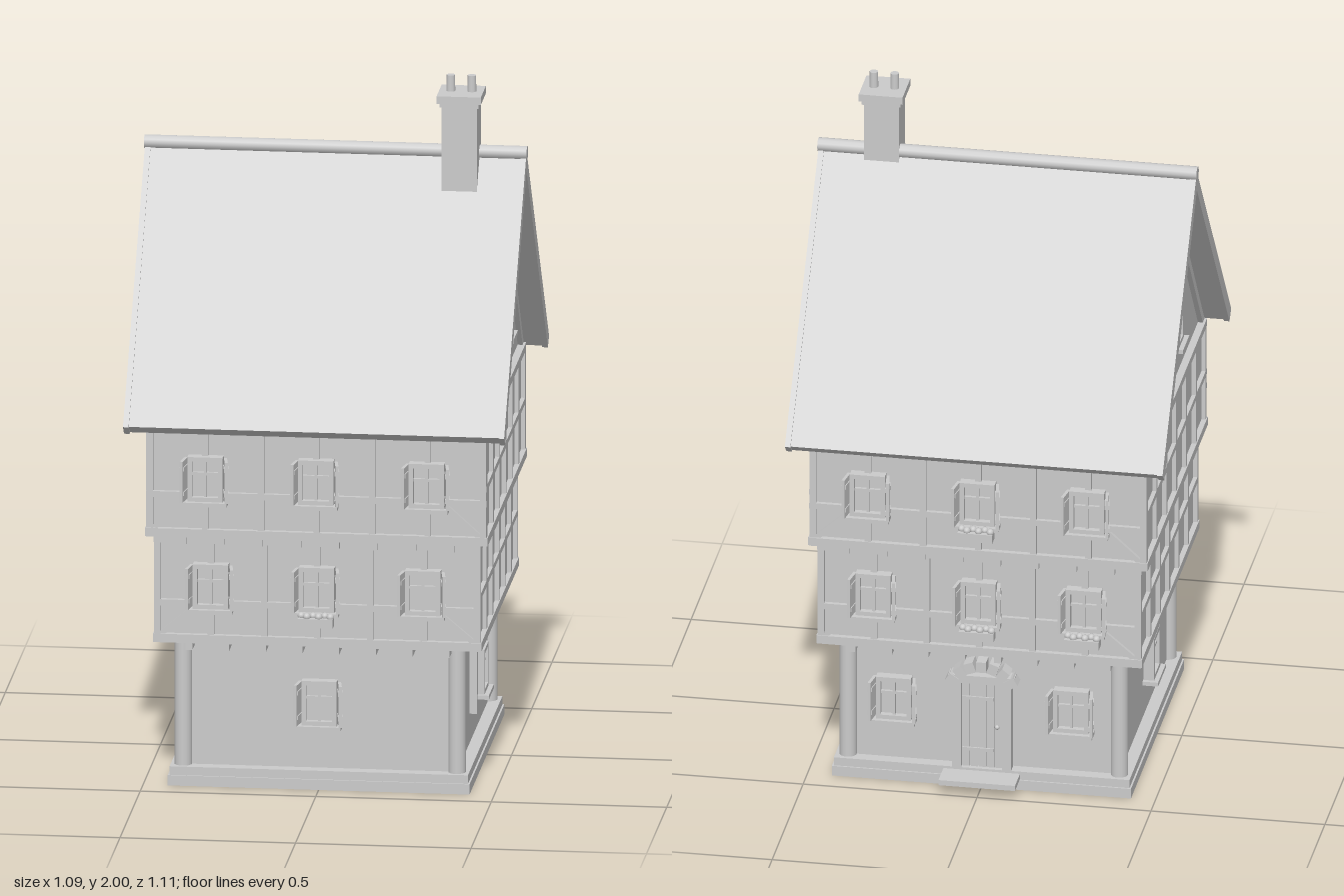
import * as THREE from 'three';

const mat = new THREE.MeshStandardMaterial({ color: 0xcccccc });

function add(parent, name, geo, x = 0, y = 0, z = 0) {
  const m = new THREE.Mesh(geo, mat);
  m.name = name;
  m.position.set(x, y, z);
  parent.add(m);
  return m;
}
const box = (parent, name, w, h, d, x, y, z) => add(parent, name, new THREE.BoxGeometry(w, h, d), x, y, z);

function group(parent, name, x = 0, y = 0, z = 0, ry = 0) {
  const g = new THREE.Group();
  g.name = name;
  g.position.set(x, y, z);
  g.rotation.y = ry;
  parent.add(g);
  return g;
}

// Beam between two points of a facade plane
function beam(parent, name, x1, y1, x2, y2, z, t = 0.018) {
  const b = box(parent, name, Math.hypot(x2 - x1, y2 - y1), t, t, (x1 + x2) / 2, (y1 + y2) / 2, z);
  b.rotation.z = Math.atan2(y2 - y1, x2 - x1);
}

// Profile in the z-y plane, extruded along x and centred at x
function prism(parent, name, points, width, x = 0) {
  const shape = new THREE.Shape(points.map(([a, b]) => new THREE.Vector2(a, b)));
  const geo = new THREE.ExtrudeGeometry(shape, { depth: width, bevelEnabled: false });
  geo.translate(0, 0, -width / 2).rotateY(Math.PI / 2);
  return add(parent, name, geo, x);
}

// Casement window facing local +z, origin on the wall
function windowUnit(parent, x, y, z, { w = 0.1, h = 0.13, shutters = false, flowers = false } = {}) {
  const g = group(parent, 'window', x, y, z);
  box(g, 'windowPane', w, h, 0.014, 0, 0, 0.005);
  for (const s of [-1, 1]) {
    box(g, 'windowJamb', 0.013, h, 0.03, s * (w / 2 - 0.006), 0, 0.014);
    box(g, 'windowRail', w, 0.013, 0.03, 0, s * (h / 2 - 0.006), 0.014);
    if (shutters) {
      const sh = box(g, 'shutter', 0.009, h - 0.01, 0.055, s * (w / 2 + 0.01), 0, 0.034);
      sh.rotation.y = s * 0.16;
      for (const e of [-1, 1]) box(sh, 'shutterBatten', 0.014, 0.012, 0.045, 0, e * 0.036, 0);
    }
  }
  box(g, 'mullion', 0.008, h, 0.02, 0, 0, 0.011);
  box(g, 'transom', w, 0.008, 0.02, 0, h * 0.12, 0.011);
  box(g, 'windowSill', w + 0.025, 0.012, 0.045, 0, -h / 2 - 0.006, 0.02);
  if (flowers) {
    box(g, 'flowerBox', 0.1, 0.026, 0.035, 0, -h / 2 - 0.024, 0.045);
    for (let i = 0; i < 6; i++)
      add(g, 'flower', new THREE.IcosahedronGeometry(0.011, 1), -0.042 + i * 0.0168, -h / 2 - 0.007, 0.045 + (i % 2 ? 0.005 : -0.005));
  }
}

// Timber-framed storey; half is the outer half width
function storey(parent, name, half, y0, y1, windowY, flowerFront, flowerBack) {
  const g = group(parent, name);
  const wall = half - 0.012, mid = half - 0.009, h = y1 - y0;
  box(g, 'plasterWalls', wall * 2, h, wall * 2, 0, (y0 + y1) / 2, 0);
  for (let k = 0; k < 4; k++) {
    const f = group(g, ['frontFrame', 'leftFrame', 'backFrame', 'rightFrame'][k], 0, 0, 0, k * Math.PI / 2);
    const street = k % 2 === 0;
    box(f, 'sillBeam', half * 2, 0.025, 0.03, 0, y0 + 0.0125, half - 0.012);
    box(f, 'topBeam', half * 2, 0.022, 0.026, 0, y1 - 0.011, half - 0.012);
    const railY = y0 + h * (street ? 0.37 : 0.5);
    beam(f, 'middleRail', -half, railY, half, railY, mid);
    for (let i = 0; i <= 6; i++) {
      const x = (i / 3 - 1) * (half - 0.01);
      beam(f, 'stud', x, y0, x, y1, mid);
    }
    if (!street) continue;
    // Corner braces, windows and protruding joist ends
    for (const s of [-1, 1]) beam(f, 'brace', s * (half - 0.015), y0 + 0.02, s * (half - 0.13), railY, mid, 0.015);
    const flowers = k === 0 ? flowerFront : flowerBack;
    for (const i of [-1, 0, 1])
      windowUnit(f, i * half * 0.65, windowY, wall, { shutters: true, flowers: flowers.includes(i) });
    for (let i = 0; i < 8; i++)
      box(f, 'joistEnd', 0.02, 0.025, 0.1, (i - 3.5) * half * 0.225, y0 - 0.01, half - 0.055);
  }
}

export function createModel() {
  const house = new THREE.Group();
  house.name = 'timberHouse';

  // Plinth and ground floor
  box(house, 'plinth', 0.86, 0.03, 0.86, 0, 0.015, 0);
  box(house, 'plinthCap', 0.85, 0.025, 0.85, 0, 0.0425, 0);
  const ground = group(house, 'groundFloor');
  box(ground, 'stoneWalls', 0.78, 0.38, 0.78, 0, 0.245, 0);
  for (const x of [-1, 1]) for (const z of [-1, 1])
    add(ground, 'cornerPost', new THREE.CylinderGeometry(0.025, 0.025, 0.38, 16), x * 0.39, 0.245, z * 0.39);
  windowUnit(ground, 0, 0.25, 0.39, { shutters: true });
  for (const s of [-1, 1]) {
    const side = group(ground, 'sideWall', 0, 0, 0, s * Math.PI / 2);
    windowUnit(side, 0, 0.255, 0.4);
  }

  // Back wall with entrance
  const back = group(ground, 'entranceWall', 0, 0, 0, Math.PI);
  for (const s of [-1, 1]) windowUnit(back, s * 0.255, 0.25, 0.39, { shutters: true });
  box(back, 'doorLeaf', 0.12, 0.27, 0.02, 0, 0.185, 0.396);
  for (let i = 0; i < 5; i++) box(back, 'doorPlank', 0.02, 0.26, 0.008, (i - 2) * 0.0235, 0.185, 0.408);
  for (const y of [0.11, 0.27]) box(back, 'doorHinge', 0.09, 0.01, 0.006, -0.012, y, 0.414);
  add(back, 'doorKnob', new THREE.SphereGeometry(0.007, 10, 8), 0.043, 0.185, 0.418);
  for (const s of [-1, 1]) box(back, 'doorPost', 0.025, 0.28, 0.045, s * 0.072, 0.19, 0.405);
  box(back, 'doorLintel', 0.19, 0.024, 0.05, 0, 0.335, 0.407);
  for (let i = 0; i < 7; i++) {
    const a = (i / 6 - 0.5) * 2;
    const stone = box(back, 'archStone', 0.028, 0.032, 0.05, Math.sin(a) * 0.1, 0.277 + Math.cos(a) * 0.1, 0.41);
    stone.rotation.z = -a;
  }
  box(back, 'doorStep', 0.22, 0.016, 0.12, 0, 0.04, 0.445);

  // Jettied upper storeys
  storey(house, 'middleStorey', 0.465, 0.43, 0.745, 0.6, [0], [0, 1]);
  storey(house, 'upperStorey', 0.485, 0.745, 1.08, 0.92, [], [0]);

  // Gables
  prism(house, 'atticWalls', [[-0.465, 1.07], [0.465, 1.07], [0, 1.67]], 0.93);
  for (const s of [-1, 1]) {
    const g = group(house, 'gableFrame', 0, 0, 0, s * Math.PI / 2);
    for (const e of [-1, 1]) beam(g, 'gableRafter', e * 0.472, 1.075, 0, 1.685, 0.468, 0.022);
    beam(g, 'gablePost', 0, 1.08, 0, 1.68, 0.468);
    windowUnit(g, 0, 1.285, 0.47, { w: 0.075, h: 0.1 });
  }

  // Roof
  const roof = group(house, 'roof');
  const chevron = (o) => [[0, 1.77 + o], [0.55 + o, 1.082], [0.526, 1.06 - o], [0, 1.722 - o], [-0.526, 1.06 - o], [-0.55 - o, 1.082]];
  prism(roof, 'roofSlopes', chevron(0), 1.06);
  for (const s of [-1, 1]) prism(roof, 'bargeBoard', chevron(0.005), 0.016, s * 0.535);
  const ridge = add(roof, 'ridgeCap', new THREE.CylinderGeometry(0.02, 0.02, 1.09, 12), 0, 1.77, 0);
  ridge.rotation.z = Math.PI / 2;

  // Chimney, running down to the ground floor wall
  const chimney = group(house, 'chimney', 0.36, 0, 0.028);
  box(chimney, 'chimneyStack', 0.1, 1.79, 0.1, 0, 1.035, 0);
  box(chimney, 'chimneyCollar', 0.112, 0.012, 0.112, 0, 1.924, 0);
  box(chimney, 'chimneyCap', 0.126, 0.022, 0.126, 0, 1.942, 0);
  for (const s of [-1, 1])
    add(chimney, 'chimneyPot', new THREE.CylinderGeometry(0.012, 0.013, 0.055, 12), s * 0.03, 1.9725, -0.003);

  return house;
}
